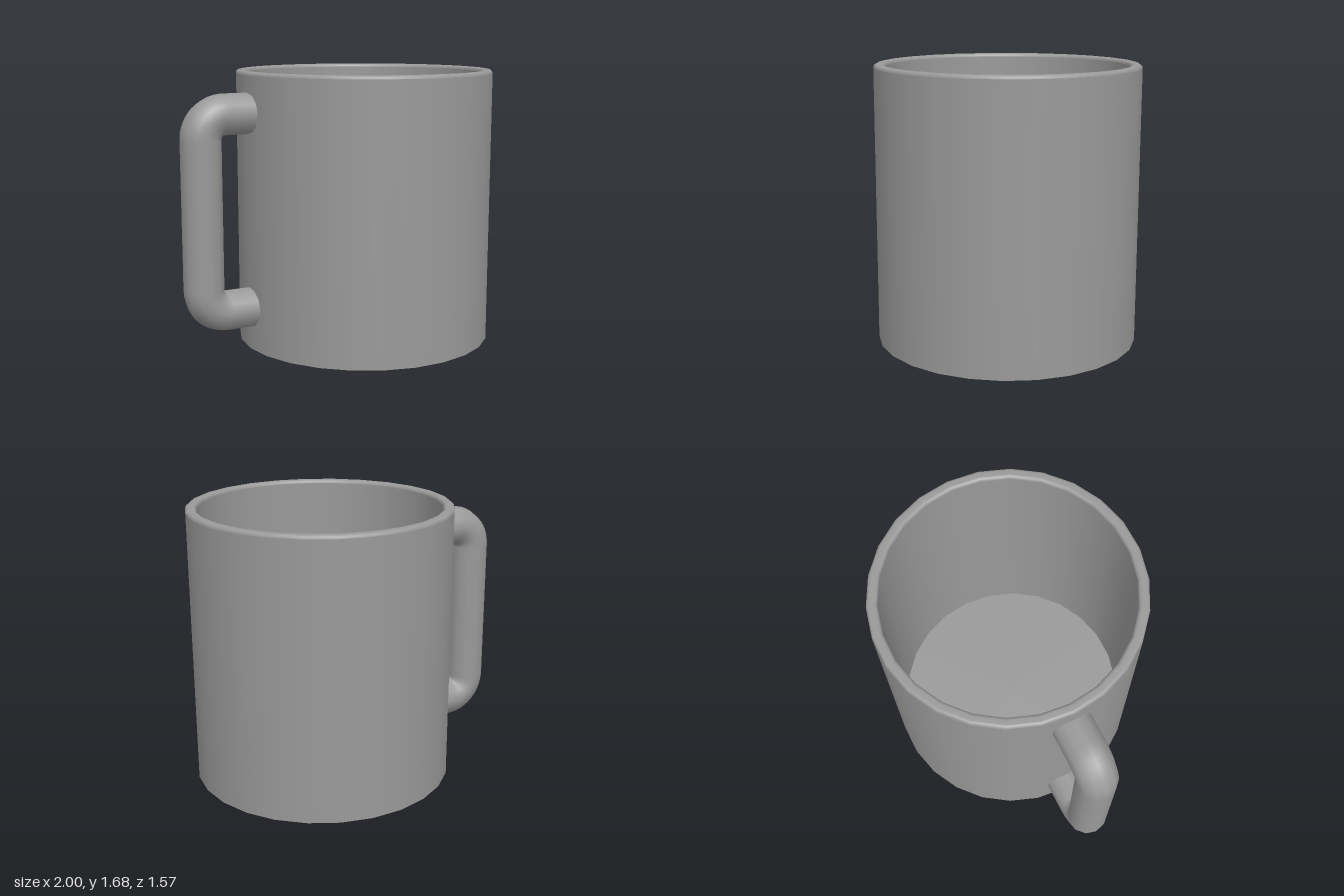
import * as THREE from 'three';

const SIDES = 26;
const CENTRE_X = 0.208;
const R_OUT = 0.792, R_IN = 0.727, HEIGHT = 1.68, FLOOR = 0.07, ROUND = 0.02;

// Planar handle path lifted into 3D
class PlanarCurve extends THREE.Curve {
  constructor(path) {
    super();
    this.path = path;
  }
  getPoint(t, target = new THREE.Vector3()) {
    const p = this.path.getPoint(t);
    return target.set(p.x, p.y, 0);
  }
}

export function createModel() {
  const model = new THREE.Group();
  model.name = 'mug';
  const material = new THREE.MeshStandardMaterial({ color: 0x999999 });

  // Each section is its own lathe, so the edges between them stay sharp
  const cup = new THREE.Group();
  cup.name = 'cup';
  cup.position.x = CENTRE_X;
  model.add(cup);
  const addSection = (name, points) => {
    const profile = points.map(([r, y]) => new THREE.Vector2(r, y));
    const mesh = new THREE.Mesh(new THREE.LatheGeometry(profile, SIDES, Math.PI / 2), material);
    mesh.name = name;
    cup.add(mesh);
  };

  // Rounded rim: quarter arc outside, quarter arc inside
  const rim = [];
  for (const [cx, start] of [[R_OUT - ROUND, 0], [R_IN + ROUND, Math.PI / 2]]) {
    for (let i = 0; i <= 4; i++) {
      const a = start + (i / 4) * Math.PI / 2;
      rim.push([cx + ROUND * Math.cos(a), HEIGHT - ROUND + ROUND * Math.sin(a)]);
    }
  }

  addSection('base', [[0, 0], [R_OUT, 0]]);
  addSection('outerWall', [[R_OUT, 0], [R_OUT, HEIGHT - ROUND]]);
  addSection('rim', rim);
  addSection('innerWall', [[R_IN, HEIGHT - ROUND], [R_IN, FLOOR]]);
  addSection('innerFloor', [[R_IN, FLOOR], [0, FLOOR]]);

  // Handle: round bar with two tight bends, ends buried in the wall
  const bend = 0.14, outerX = -0.878, endX = -0.535, top = 1.438, bottom = 0.262;
  const path = new THREE.Path();
  path.moveTo(endX, top);
  path.lineTo(outerX + bend, top);
  path.absarc(outerX + bend, top - bend, bend, Math.PI / 2, Math.PI, false);
  path.lineTo(outerX, bottom + bend);
  path.absarc(outerX + bend, bottom + bend, bend, Math.PI, Math.PI * 1.5, false);
  path.lineTo(endX, bottom);
  const handle = new THREE.Mesh(
    new THREE.TubeGeometry(new PlanarCurve(path), 96, 0.122, 12, false), material);
  handle.name = 'handle';
  model.add(handle);

  return model;
}
